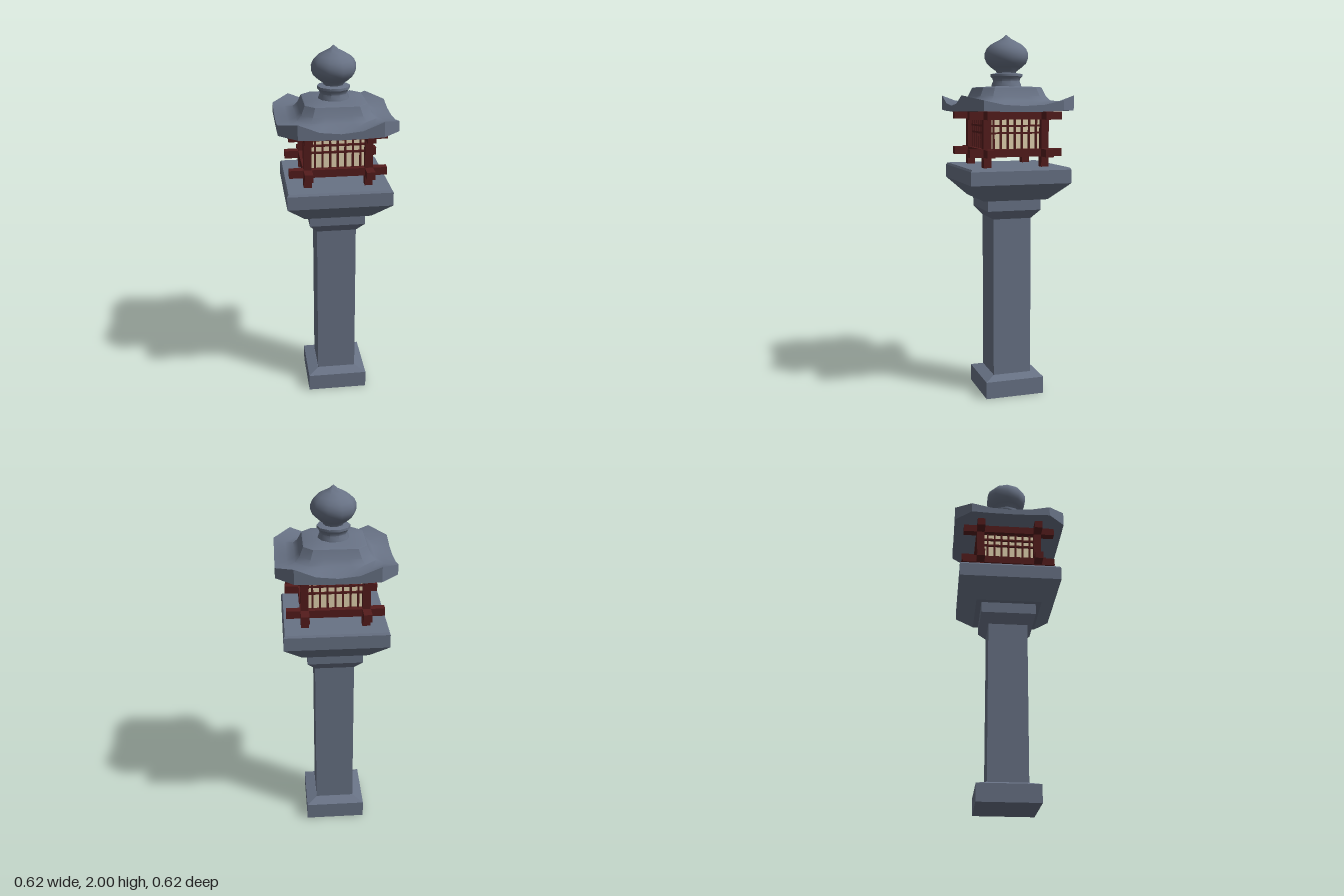
import * as THREE from 'three';
import { toCreasedNormals } from 'three/addons/utils/BufferGeometryUtils.js';

const mat = (name, color, extra = {}) => {
  const m = new THREE.MeshStandardMaterial({ color, ...extra });
  m.name = name;
  return m;
};

export function createModel() {
  const stone = mat('stone', 0x687285);
  const wood = mat('darkRedWood', 0x541c1c);
  const paper = mat('creamPaper', 0xe3d3b0);

  const root = new THREE.Group();
  root.name = 'stoneLantern';

  const add = (parent, name, geo, material, x = 0, y = 0, z = 0) => {
    const mesh = new THREE.Mesh(geo, material);
    mesh.name = name;
    mesh.position.set(x, y, z);
    parent.add(mesh);
    return mesh;
  };
  const box = (parent, name, material, w, h, d, x, y, z) =>
    add(parent, name, new THREE.BoxGeometry(w, h, d), material, x, y, z);

  // Square block turned from a [halfWidth, y] profile, with hard edges
  const squareBlock = (name, profile) => {
    const pts = profile.map(([r, y]) => new THREE.Vector2(r * Math.SQRT2, y));
    const geo = new THREE.LatheGeometry(pts, 4, Math.PI / 4).toNonIndexed();
    geo.computeVertexNormals();
    return add(root, name, geo, stone, 0.002, 0, 0.001);
  };

  squareBlock('base', [[0, 0], [0.167, 0], [0.167, 0.095], [0.11, 0.115], [0, 0.115]]);
  squareBlock('column', [[0.108, 0.11], [0.108, 1.0]]);
  squareBlock('capital', [[0.108, 1.0], [0.151, 1.05], [0.151, 1.11]]);
  squareBlock('platform', [
    [0, 1.11], [0.18, 1.11], [0.279, 1.205], [0.279, 1.278], [0.271, 1.289], [0, 1.289],
  ]);

  // Fire chamber: four identical sides of post, beams and latticed window
  const chamber = new THREE.Group();
  chamber.name = 'fireChamber';
  chamber.position.set(0.002, 0, 0.001);
  root.add(chamber);
  box(chamber, 'paperWindows', paper, 0.296, 0.17, 0.296, 0, 1.465, 0);
  for (let i = 0; i < 4; i++) {
    const side = new THREE.Group();
    side.name = 'chamberSide';
    side.rotation.y = (i * Math.PI) / 2;
    chamber.add(side);
    box(side, 'post', wood, 0.042, 0.298, 0.042, 0.162, 1.437, 0.162);
    for (const y of [1.366, 1.565])
      box(side, 'beam', wood, 0.518, 0.042, 0.044, 0, y, 0.162);
    for (let k = -3; k <= 3; k++)
      box(side, 'verticalBar', wood, 0.01, 0.17, 0.012, k * 0.04, 1.465, 0.154);
    for (const y of [1.472, 1.51])
      box(side, 'horizontalBar', wood, 0.29, 0.01, 0.012, 0, y, 0.154);
  }

  // Roof: rings of [halfWidth, halfSide, y, lift at front/back corners, lift at side corners]
  const rings = [
    [0.1, 0.07, 1.586, 0, 0],
    [0.312, 0.219, 1.586, 0.006, 0.006],
    [0.312, 0.219, 1.617, 0.055, 0.029],
    [0.25, 0.175, 1.628, 0.014, 0.008],
    [0.207, 0.145, 1.644, 0, 0],
    [0.184, 0.13, 1.668, 0, 0],
    [0.164, 0.115, 1.714, 0, 0],
    [0.158, 0.111, 1.717, 0, 0],
    [0.06, 0.042, 1.722, 0, 0],
  ];
  const steps = [-1, -0.5, 0, 0.5, 1];
  const pos = [];
  const index = [];
  const n = steps.length * 4;
  rings.forEach(([half, edge, y, liftZ, liftX], r) => {
    for (let s = 0; s < 4; s++) {
      const a = (s * Math.PI) / 2;
      for (const t of steps) {
        const lift = (s % 2 ? liftX : liftZ) * Math.abs(t) ** 2.3;
        const u = t * edge;
        pos.push(u * Math.cos(a) + half * Math.sin(a), y + lift, half * Math.cos(a) - u * Math.sin(a));
      }
    }
    if (r === 0) return;
    for (let k = 0; k < n; k++) {
      const a = (r - 1) * n + k, b = (r - 1) * n + ((k + 1) % n);
      index.push(a, b, b + n, a, b + n, a + n);
    }
  });
  // Close the middle of the underside
  for (let k = 1; k < n - 1; k++) index.push(0, k + 1, k);
  const roofGeo = new THREE.BufferGeometry();
  roofGeo.setAttribute('position', new THREE.Float32BufferAttribute(pos, 3));
  roofGeo.setIndex(index);
  add(root, 'roof', toCreasedNormals(roofGeo, 0.65), stone);

  // Ten-sided finial: flared neck, thin collar and onion-shaped jewel
  const turned = (name, profile, crease) => {
    const pts = profile.map(([r, y]) => new THREE.Vector2(r, y));
    const geo = new THREE.LatheGeometry(pts, 10, Math.PI / 2);
    geo.deleteAttribute('normal');
    geo.deleteAttribute('uv');
    add(root, name, toCreasedNormals(geo, crease), stone);
  };
  turned('finialNeck', [
    [0.084, 1.715], [0.081, 1.73], [0.073, 1.75], [0.077, 1.764], [0.088, 1.775],
    [0.088, 1.788], [0.055, 1.794], [0, 1.794],
  ], 0.75);
  turned('finialJewel', [
    [0.052, 1.79], [0.056, 1.803], [0.085, 1.824], [0.108, 1.845], [0.119, 1.872], [0.119, 1.9],
    [0.108, 1.925], [0.085, 1.947], [0.052, 1.965], [0.026, 1.978], [0.012, 1.99], [0, 2.0],
  ], 0.9);

  return root;
}
